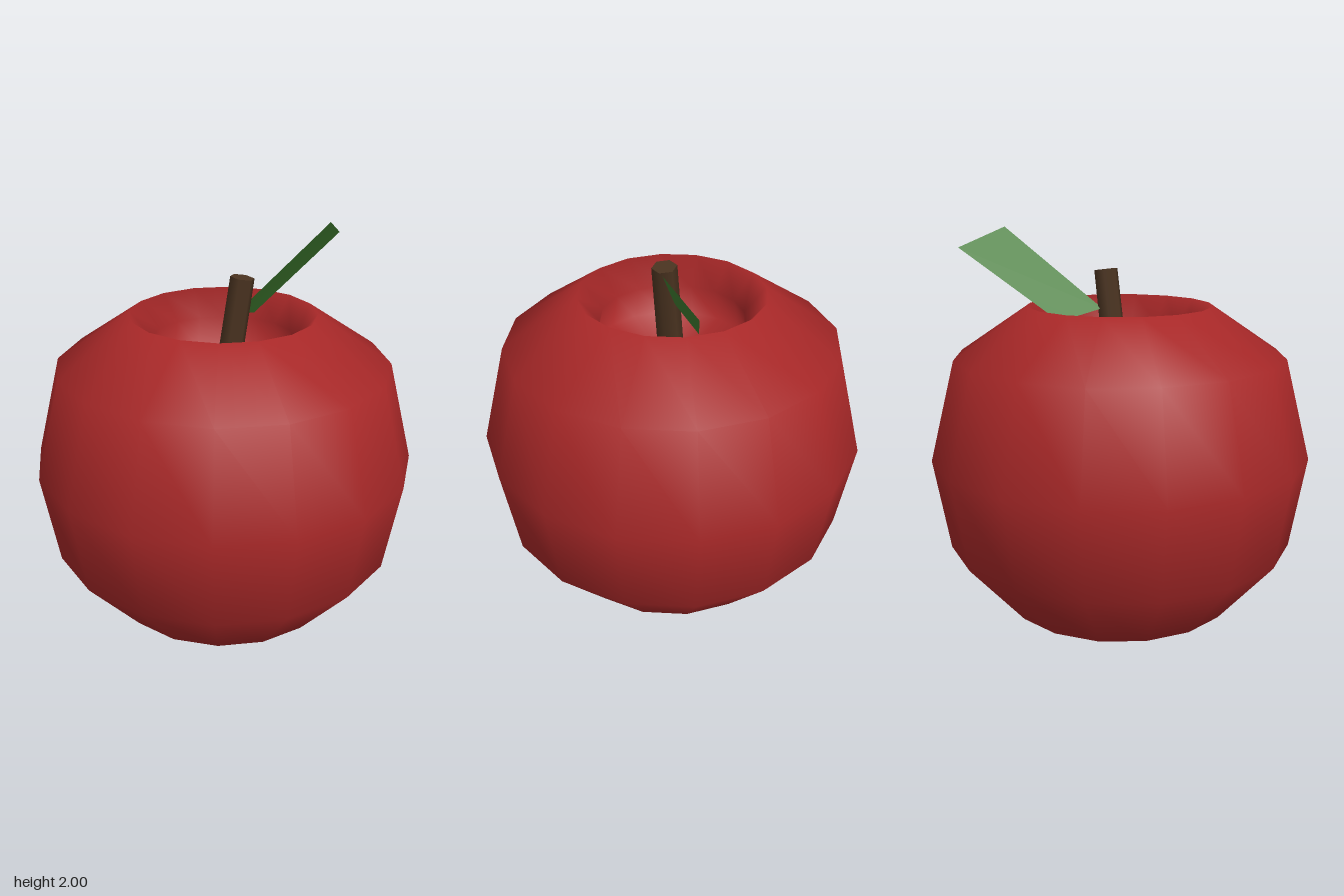
import * as THREE from 'three';
import { mergeVertices } from 'three/addons/utils/BufferGeometryUtils.js';

const mat = (name, color, side = THREE.FrontSide) => {
  const m = new THREE.MeshStandardMaterial({ color, side });
  m.name = name;
  return m;
};

export function createModel() {
  const red = mat('apple red', 0xa82828, THREE.DoubleSide);
  const brown = mat('stem brown', 0x4a3320);
  const green = mat('leaf green', 0x417f31, THREE.DoubleSide);

  const model = new THREE.Group();
  model.name = 'apple';
  const add = (name, geometry, material) => {
    const mesh = new THREE.Mesh(geometry, material);
    mesh.name = name;
    model.add(mesh);
    return mesh;
  };

  // Body: 16-sided turned profile, ending in a slightly undercut hollow
  const profile = [
    [0, 0], [0.585, 0.09], [0.875, 0.42], [0.955, 0.88], [0.83, 1.38],
    [0.46, 1.63], [0.355, 1.5], [0.39, 1.33], [0, 1.2],
  ].map(([r, y]) => new THREE.Vector2(r, y));
  let body = new THREE.LatheGeometry(profile, 16);
  body.deleteAttribute('normal');
  body.deleteAttribute('uv');
  body = mergeVertices(body, 1e-4);
  body.computeVertexNormals();
  add('body', body, red);

  // Stem: six-sided post leaning to the left and forward
  const base = new THREE.Vector3(0, 1.15, -0.005);
  const tip = new THREE.Vector3(0.08, 1.8, 0.048);
  const axis = tip.clone().sub(base);
  const stem = add('stem', new THREE.CylinderGeometry(0.061, 0.065, axis.length(), 6), brown);
  stem.position.copy(base).add(tip).multiplyScalar(0.5);
  stem.quaternion.setFromUnitVectors(new THREE.Vector3(0, 1, 0), axis.normalize());

  // Leaf: a single slanted four-cornered sheet
  const leaf = new THREE.BufferGeometry();
  leaf.setAttribute('position', new THREE.Float32BufferAttribute([
    0.09, 1.61, 0,
    0.62, 2.0, 0.12,
    0.83, 1.9, 0,
    0.29, 1.55, -0.085,
  ], 3));
  leaf.setIndex([0, 1, 2, 0, 2, 3]);
  leaf.computeVertexNormals();
  add('leaf', leaf, green);

  return model;
}
